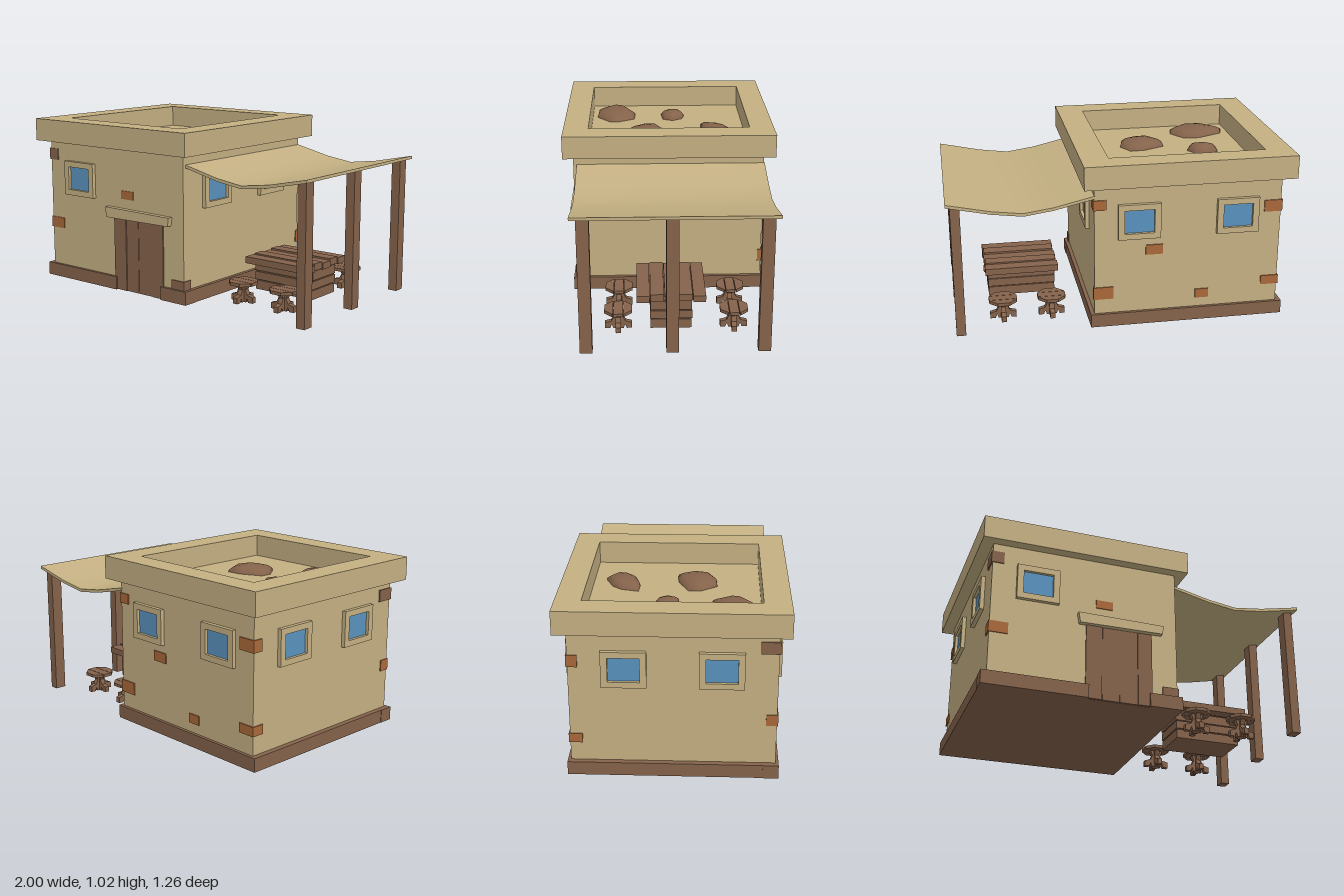
import * as THREE from 'three';
import { toCreasedNormals } from 'three/addons/utils/BufferGeometryUtils.js';

const mat = (name, color, side = THREE.FrontSide) => {
  const m = new THREE.MeshStandardMaterial({ color, side });
  m.name = name;
  return m;
};

export function createModel() {
  const sand = mat('sandPlaster', 0xc4b082);
  const wood = mat('brownWood', 0x85634b);
  const clay = mat('orangeBrick', 0xa9683a);
  const blue = mat('blueGlass', 0x5a92be);
  const root = new THREE.Group();

  const add = (name, geo, material, parent = root) => {
    const m = new THREE.Mesh(geo, material);
    m.name = name;
    parent.add(m);
    return m;
  };
  // box given by its minimum and maximum corners
  const box = (name, material, x0, x1, y0, y1, z0, z1, parent = root) => {
    const m = add(name, new THREE.BoxGeometry(x1 - x0, y1 - y0, z1 - z0), material, parent);
    m.position.set((x0 + x1) / 2, (y0 + y1) / 2, (z0 + z1) / 2);
    return m;
  };
  const polygon = pts => new THREE.Shape(pts.map(p => new THREE.Vector2(p[0], p[1])));
  const rect = (x0, x1, y0, y1) => [[x0, y0], [x1, y0], [x1, y1], [x0, y1]];
  const extrude = (shape, depth) => new THREE.ExtrudeGeometry(shape, { depth, bevelEnabled: false });
  const frame = (outer, inner, depth) => {
    const s = polygon(outer);
    s.holes.push(new THREE.Path(polygon(inner).getPoints()));
    return extrude(s, depth);
  };

  // house body and parapet around a sunken roof
  box('walls', sand, -0.93, 0.17, 0.02, 0.885, -0.57, 0.57);
  const parapet = add('parapet', frame(rect(-1, 0.235, -0.63, 0.635), rect(-0.845, 0.075, -0.48, 0.49), 0.137), sand);
  parapet.rotation.x = -Math.PI / 2;
  parapet.position.y = 0.88;

  // plinth, open in front of the door
  box('plinth', wood, -0.962, 0.193, 0.008, 0.088, -0.588, 0.565);
  box('plinthFrontRight', wood, -0.965, -0.36, 0.008, 0.088, 0.5, 0.588);
  box('plinthFrontLeft', wood, 0, 0.196, 0.008, 0.088, 0.5, 0.588);

  // double door of planks, with lintel
  const door = new THREE.Group();
  door.name = 'door';
  root.add(door);
  [[-0.378, -0.282, 0.578], [-0.279, -0.183, 0.574], [-0.178, -0.072, 0.574], [-0.069, 0.016, 0.578]]
    .forEach(([a, b, z]) => box('doorPlank', wood, a, b, 0.01, 0.455, 0.54, z, door));
  box('doorBacking', wood, -0.37, 0.01, 0.01, 0.45, 0.54, 0.571, door);
  const lintel = add('lintel', extrude(polygon([[-0.42, 0.455], [0.075, 0.46], [0.083, 0.512], [-0.43, 0.518]]), 0.05), sand);
  lintel.position.z = 0.552;

  // windows: front, two on each other side
  const windowAt = (x, z, turn) => {
    const g = new THREE.Group();
    g.name = 'window';
    add('windowFrame', frame(rect(-0.124, 0.124, -0.106, 0.106), rect(-0.087, 0.087, -0.071, 0.071), 0.024), sand, g);
    box('windowPane', blue, -0.087, 0.087, -0.071, 0.071, 0, 0.006, g);
    g.position.set(x, 0.658, z);
    g.rotation.y = turn;
    root.add(g);
  };
  windowAt(-0.665, 0.57, 0);
  [-0.09, -0.67].forEach(x => windowAt(x, -0.57, Math.PI));
  [0.275, -0.26].forEach(z => windowAt(0.17, z, Math.PI / 2));
  [0.265, -0.265].forEach(z => windowAt(-0.93, z, -Math.PI / 2));

  // exposed bricks, on the faces and wrapping the corners
  [[-0.32, -0.22, 0.575, 0.625, 0.55, 0.576, clay],
    [-0.936, -0.825, 0.325, 0.392, 0.51, 0.576, clay],
    [-0.938, -0.865, 0.76, 0.83, 0.47, 0.576, wood],
    [0.08, 0.177, 0.088, 0.142, 0.515, 0.577, wood],
    [0.1, 0.177, 0.735, 0.795, -0.577, -0.5, clay],
    [0.06, 0.177, 0.18, 0.255, -0.577, -0.548, clay],
    [-0.23, -0.13, 0.445, 0.505, -0.577, -0.55, clay],
    [-0.51, -0.43, 0.145, 0.2, -0.577, -0.55, clay],
    [-0.937, -0.83, 0.665, 0.735, -0.577, -0.515, clay],
    [-0.937, -0.83, 0.2, 0.255, -0.577, -0.5, clay]]
    .forEach(([a, b, c, d, e, f, m]) => box('brick', m, a, b, c, d, e, f));

  // low domed rocks on the roof, built from shrinking rings of an outline
  const rock = outline => {
    const n = outline.length;
    const cx = outline.reduce((s, p) => s + p[0], 0) / n;
    const cz = outline.reduce((s, p) => s + p[1], 0) / n;
    const pos = [], idx = [];
    const rings = [[1, -0.005], [0.96, 0.014], [0.75, 0.032], [0.4, 0.042]];
    rings.forEach(([k, y]) => outline.forEach(([x, z]) => pos.push((x - cx) * k, y, (z - cz) * k)));
    pos.push(0, 0.045, 0);
    for (let r = 0; r < rings.length; r++) for (let i = 0; i < n; i++) {
      const a = r * n + i, b = r * n + (i + 1) % n;
      if (r === rings.length - 1) idx.push(a, rings.length * n, b);
      else idx.push(a, a + n, b, b, a + n, b + n);
    }
    // outlines run clockwise seen from above, so flip each face upward
    for (let i = 0; i < idx.length; i += 3) [idx[i + 1], idx[i + 2]] = [idx[i + 2], idx[i + 1]];
    const g = new THREE.BufferGeometry();
    g.setAttribute('position', new THREE.Float32BufferAttribute(pos, 3));
    g.setIndex(idx);
    g.computeVertexNormals();
    // make sure the dome faces up whatever the outline direction
    if (g.attributes.normal.getY(rings.length * n) < 0) {
      g.setIndex(idx.slice().reverse());
      g.computeVertexNormals();
    }
    add('roofRock', g, wood).position.set(cx, 0.885, cz);
  };
  rock([[-0.39, -0.22], [-0.365, -0.32], [-0.32, -0.375], [-0.215, -0.42], [-0.14, -0.36], [-0.15, -0.305], [-0.21, -0.24], [-0.3, -0.215]]);
  rock([[-0.68, -0.02], [-0.675, -0.09], [-0.59, -0.12], [-0.535, -0.105], [-0.495, -0.045], [-0.525, 0.02], [-0.62, 0.03]]);
  rock([[-0.375, 0.135], [-0.37, 0.065], [-0.24, 0.005], [-0.15, 0], [-0.1, 0.095], [-0.125, 0.19], [-0.21, 0.23], [-0.3, 0.235]]);
  rock([[-0.815, 0.335], [-0.795, 0.275], [-0.635, 0.2], [-0.535, 0.205], [-0.47, 0.315], [-0.48, 0.37], [-0.58, 0.45], [-0.71, 0.445]]);

  // sagging canopy on three posts
  const sag = [[0.165, 0.825], [0.4, 0.771], [0.57, 0.747], [0.75, 0.771], [1, 0.825]];
  const under = sag.map(([x, y]) => [x, y - 0.018]).reverse();
  const canopy = add('canopy', toCreasedNormals(extrude(polygon([...under, ...sag]), 1.125), 0.6), sand);
  canopy.position.z = -0.575;
  [0.48, 0, -0.512].forEach(z => box('canopyPost', wood, 0.92, 0.975, 0, 0.806, z - 0.035, z + 0.035));

  // plank table on a crate body
  const table = new THREE.Group();
  table.name = 'table';
  root.add(table);
  [[0.125, 0.2, 0.208, 0.248], [0.043, 0.121, 0.213, 0.255], [-0.04, 0.038, 0.207, 0.246],
    [-0.119, -0.045, 0.213, 0.255], [-0.195, -0.123, 0.208, 0.248]]
    .forEach(([a, b, c, d], i) => box('tablePlank', wood, 0.335 + (i % 2) * 0.006, 0.778 - (i % 2) * 0.006, c, d, a, b, table));
  box('crateCore', wood, 0.36, 0.752, 0.04, 0.212, -0.108, 0.112, table);
  [[0.037, 0.092], [0.098, 0.146], [0.153, 0.207]].forEach(([a, b], i) =>
    box('crateSlat', wood, 0.352 - i * 0.002, 0.758 + i * 0.002, a, b, -0.115 - (i % 2) * 0.003, 0.12 + (i % 2) * 0.003, table));

  // stools: three-plank octagonal seat over a crossed stand
  const half = [[0.03, 0.01], [0.038, 0.035], [0.048, 0.01], [0.078, 0.01], [0.078, 0.045], [0.04, 0.055], [0.026, 0.085], [0.04, 0.118]];
  const stand = extrude(polygon([...half, ...half.map(([x, y]) => [-x, y]).reverse()]), 0.03).translate(0, 0, -0.015);
  const sidePlank = [[-0.08, 0.03], [0.08, 0.03], [0.08, 0.035], [0.035, 0.08], [-0.035, 0.08], [-0.08, 0.035]];
  const seatPlanks = [rect(-0.083, 0.083, -0.027, 0.027), sidePlank, sidePlank.map(([x, y]) => [-x, -y])]
    .map(p => extrude(polygon(p), 0.019).rotateX(-Math.PI / 2));
  for (const x of [0.4, 0.69]) for (const z of [0.305, -0.36]) {
    const stool = new THREE.Group();
    stool.name = 'stool';
    seatPlanks.forEach(g => { add('seatPlank', g, wood, stool).position.y = 0.116; });
    add('stand', stand, wood, stool);
    add('standCross', stand, wood, stool).rotation.y = Math.PI / 2;
    stool.position.set(x, 0, z);
    root.add(stool);
  }
  return root;
}
